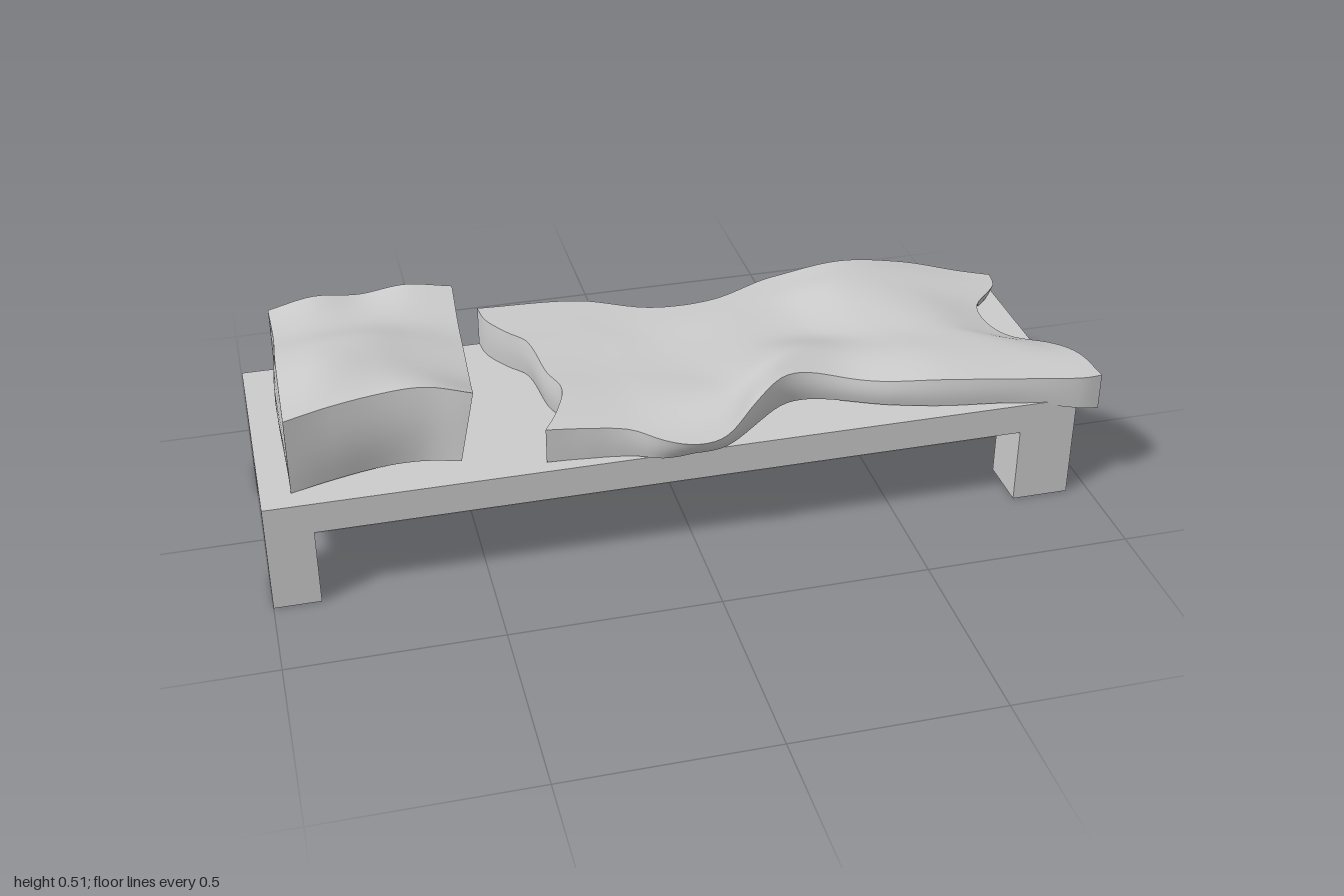
import * as THREE from 'three';
import { mergeGeometries } from 'three/addons/utils/BufferGeometryUtils.js';

const material = new THREE.MeshStandardMaterial({ color: 0xcccccc });
const { lerp } = THREE.MathUtils;

// Smooth curve through [position, value] pairs (cubic Hermite)
function curve(pts) {
  const slope = (i) => {
    const a = pts[Math.max(i - 1, 0)], b = pts[Math.min(i + 1, pts.length - 1)];
    return (b[1] - a[1]) / (b[0] - a[0]);
  };
  return (x) => {
    let i = 0;
    while (i < pts.length - 2 && x > pts[i + 1][0]) i++;
    const [x0, y0] = pts[i], [x1, y1] = pts[i + 1], h = x1 - x0;
    const t = THREE.MathUtils.clamp((x - x0) / h, 0, 1), t2 = t * t, t3 = t2 * t;
    return (2 * t3 - 3 * t2 + 1) * y0 + (t3 - 2 * t2 + t) * h * slope(i)
      + (3 * t2 - 2 * t3) * y1 + (t3 - t2) * h * slope(i + 1);
  };
}

const even = (values) => curve(values.map((y, i) => [i / (values.length - 1), y]));

// Height field from rows of evenly spaced heights, rows running back to front
function heights(rowPositions, rows) {
  const curves = rows.map(even);
  return (u, v) => curve(rowPositions.map((p, i) => [p, curves[i](u)]))(v);
}

// Patch between four edges: left and right give x along v, back and front give z along x
function outline(left, right, back, front) {
  return (u, v) => [
    lerp(left(v), right(v), u),
    lerp(back(lerp(left(0), right(0), u)), front(lerp(left(1), right(1), u)), v),
  ];
}

function grid(point, ns, nt) {
  const positions = [], index = [];
  for (let i = 0; i <= ns; i++)
    for (let j = 0; j <= nt; j++) positions.push(...point(i / ns, j / nt).toArray());
  for (let i = 0; i < ns; i++)
    for (let j = 0; j < nt; j++) {
      const a = i * (nt + 1) + j, b = a + nt + 1;
      index.push(a, a + 1, b, a + 1, b + 1, b);
    }
  const g = new THREE.BufferGeometry();
  g.setAttribute('position', new THREE.Float32BufferAttribute(positions, 3));
  g.setIndex(index);
  g.computeVertexNormals();
  return g;
}

// Closed soft body: top and bottom sheets joined by four slightly bulging walls
function softBody(name, top, bottom, nu, nv, bulge) {
  const wall = (edge, nx, nz, n) => grid((s, t) => {
    const [u, v] = edge(t);
    const p = bottom(u, v).lerp(top(u, v), s);
    const b = bulge * Math.sin(Math.PI * s) * Math.sin(Math.PI * t);
    return p.add(new THREE.Vector3(nx * b, 0, nz * b));
  }, 6, n);
  const mesh = new THREE.Mesh(mergeGeometries([
    grid(top, nu, nv),
    grid((s, t) => bottom(t, s), nv, nu),
    wall((t) => [t, 1], 0, 1, nu),
    wall((t) => [1 - t, 0], 0, -1, nu),
    wall((t) => [1, 1 - t], 1, 0, nv),
    wall((t) => [0, t], -1, 0, nv),
  ]), material);
  mesh.name = name;
  return mesh;
}

function box(name, x0, x1, y0, y1, z0, z1) {
  const mesh = new THREE.Mesh(new THREE.BoxGeometry(x1 - x0, y1 - y0, z1 - z0), material);
  mesh.position.set((x0 + x1) / 2, (y0 + y1) / 2, (z0 + z1) / 2);
  mesh.name = name;
  return mesh;
}

function createFrame() {
  const frame = new THREE.Group();
  frame.name = 'bedFrame';
  frame.add(box('platform', -1, 0.945, 0.193, 0.27, -0.335, 0.275));
  for (const [x0, x1] of [[-1, -0.89], [0.805, 0.945]])
    for (const [z0, z1] of [[-0.335, -0.2], [0.142, 0.275]])
      frame.add(box('leg', x0, x1, 0, 0.193, z0, z1));
  return frame;
}

function createPillow() {
  const edge = outline(
    even([-0.922, -0.92, -0.925, -0.928, -0.93]),
    even([-0.48, -0.485, -0.49, -0.495, -0.505]),
    curve([[-0.93, -0.245], [-0.82, -0.255], [-0.65, -0.265], [-0.48, -0.25]]),
    curve([[-0.93, 0.222], [-0.82, 0.195], [-0.7, 0.175], [-0.6, 0.178], [-0.5, 0.205]]),
  );
  const height = heights([0, 0.25, 0.5, 0.75, 1], [
    [0.485, 0.503, 0.49, 0.503, 0.49],
    [0.475, 0.48, 0.475, 0.465, 0.447],
    [0.49, 0.502, 0.495, 0.468, 0.437],
    [0.49, 0.505, 0.49, 0.46, 0.424],
    [0.46, 0.468, 0.472, 0.475, 0.46],
  ]);
  const top = (u, v) => {
    const [x, z] = edge(u, v);
    return new THREE.Vector3(x, height(u, v), z);
  };
  // Base is narrower at the foot side and lifts a little at the front corner
  const bottom = (u, v) => {
    const [x, z] = edge(u, v);
    return new THREE.Vector3(x - 0.035 * u, 0.271 + 0.012 * u * v * v, z);
  };
  return softBody('pillow', top, bottom, 32, 32, 0.01);
}

function createBlanket() {
  const left = curve([[0, -0.41], [0.11, -0.4], [0.23, -0.36], [0.32, -0.32],
    [0.58, -0.3], [0.72, -0.28], [0.88, -0.31], [1, -0.35]]);
  const right = curve([[0, 0.93], [0.09, 0.92], [0.22, 0.85], [0.36, 0.84],
    [0.51, 0.87], [0.64, 0.945], [0.82, 0.985], [1, 1]]);
  const front = curve([[-0.35, 0.24], [-0.27, 0.245], [-0.16, 0.262], [-0.09, 0.31],
    [-0.02, 0.328], [0.06, 0.31], [0.15, 0.23], [0.25, 0.155], [0.35, 0.148],
    [0.5, 0.2], [0.62, 0.232], [0.8, 0.262], [0.95, 0.285], [1, 0.28]]);
  // Back edge with shallow notches; the lower edge is cut back less
  const back = (n) => curve([[-0.41, -0.335], [-0.15, -0.335], [0.02, -0.335 + 0.065 * n],
    [0.18, -0.335 + 0.065 * n], [0.36, -0.335], [0.7, -0.335],
    [0.85, -0.335 + 0.05 * n], [0.93, -0.335 + 0.07 * n]]);
  const topEdge = outline(left, right, back(1), front);
  const bottomEdge = outline(left, right, back(0.5), front);

  const height = heights([0, 0.22, 0.54, 0.8, 1], [
    [0.372, 0.362, 0.352, 0.352, 0.36, 0.378, 0.355, 0.328],
    [0.37, 0.36, 0.35, 0.355, 0.36, 0.384, 0.365, 0.315],
    [0.365, 0.352, 0.345, 0.35, 0.346, 0.352, 0.345, 0.31],
    [0.365, 0.352, 0.36, 0.385, 0.358, 0.356, 0.345, 0.335],
    [0.36, 0.345, 0.322, 0.368, 0.338, 0.345, 0.338, 0.33],
  ]);
  // Underside rests on the platform, lifts at the front fold and droops at the foot corner
  const frontBase = even([0.272, 0.272, 0.284, 0.29, 0.275, 0.272, 0.27, 0.238]);
  const top = (u, v) => {
    const [x, z] = topEdge(u, v);
    return new THREE.Vector3(x, height(u, v), z);
  };
  const bottom = (u, v) => {
    const [x, z] = bottomEdge(u, v);
    const tuck = 0.03 * Math.max(0, 1 - Math.abs(x + 0.02) / 0.15) * v * v;
    return new THREE.Vector3(x, lerp(0.272, frontBase(u), v ** 3), z - tuck);
  };
  return softBody('blanket', top, bottom, 72, 36, 0.006);
}

export function createModel() {
  const model = new THREE.Group();
  model.name = 'bed';
  model.add(createFrame(), createPillow(), createBlanket());
  return model;
}
